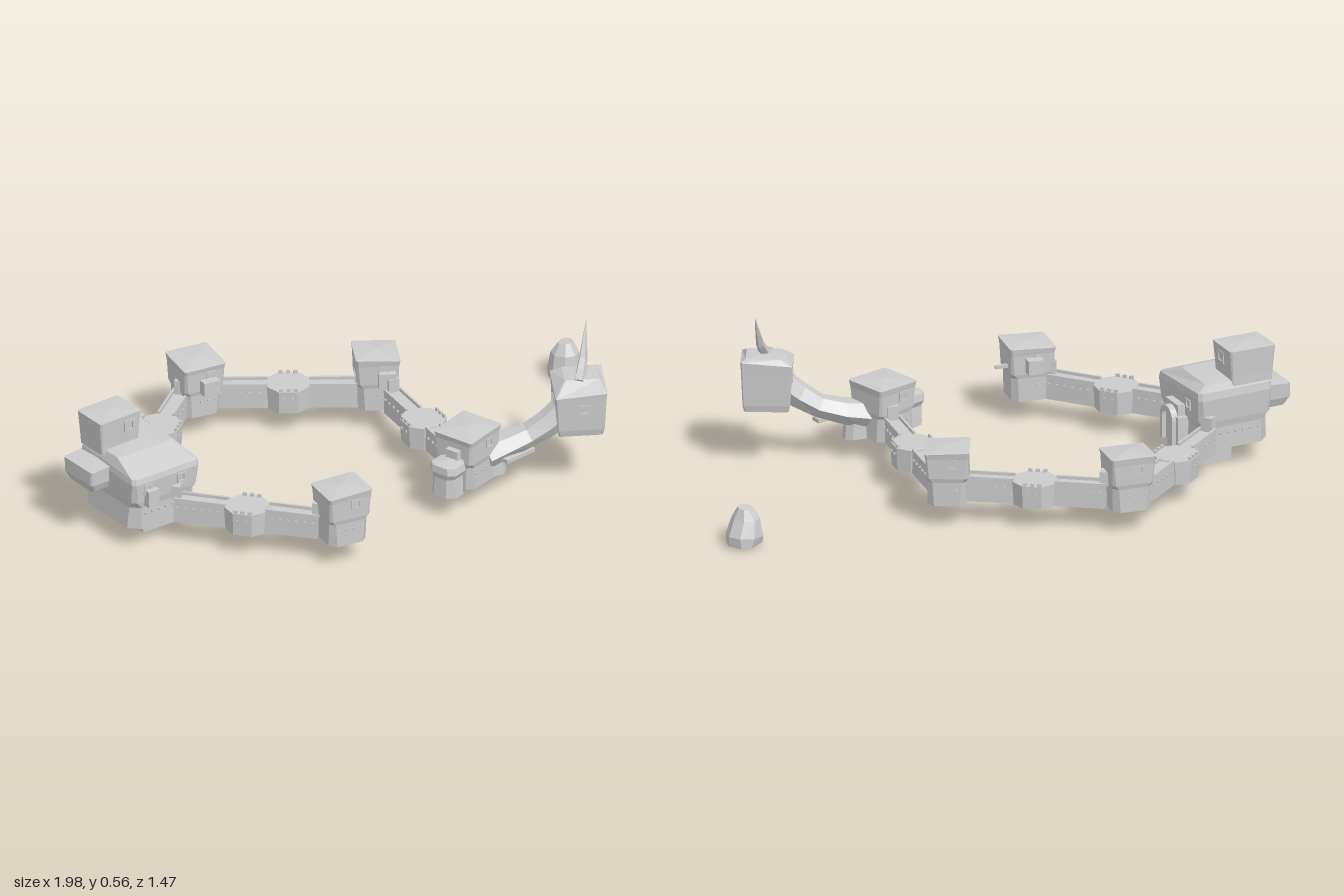
import * as THREE from 'three';

const mat = new THREE.MeshStandardMaterial({ color: 0xcccccc, flatShading: true, side: THREE.DoubleSide });

// Closed flat-shaded solid through rings of equal point count, fan caps at both ends
function loft(rings, peak = 0) {
  const pos = [];
  const tri = (a, b, c) => pos.push(...a, ...b, ...c);
  const mid = r => [0, 1, 2].map(k => r.reduce((s, p) => s + p[k], 0) / r.length);
  const n = rings[0].length;
  for (let i = 0; i + 1 < rings.length; i++) {
    for (let j = 0; j < n; j++) {
      const k = (j + 1) % n, lo = rings[i], hi = rings[i + 1];
      tri(lo[j], hi[j], lo[k]);
      tri(lo[k], hi[j], hi[k]);
    }
  }
  const first = rings[0], last = rings[rings.length - 1];
  const c0 = mid(first), c1 = mid(last);
  c1[1] += peak;
  for (let j = 0; j < n; j++) {
    const k = (j + 1) % n;
    tri(c0, first[j], first[k]);
    tri(c1, last[k], last[j]);
  }
  const g = new THREE.BufferGeometry();
  g.setAttribute('position', new THREE.Float32BufferAttribute(pos, 3));
  g.computeVertexNormals();
  return g;
}

// Horizontal rectangle with cut corners; tx and tz tilt it
function ring(w, d, y, cut = 0.01, { ox = 0, oz = 0, tx = 0, tz = 0 } = {}) {
  const a = w / 2, b = d / 2, c = cut;
  return [[a, -b + c], [a, b - c], [a - c, b], [-a + c, b], [-a, b - c], [-a, -b + c], [-a + c, -b], [a - c, -b]]
    .map(([x, z]) => [x + ox, y + tx * x + tz * z, z + oz]);
}

function add(parent, name, geo, x = 0, y = 0, z = 0, yaw = 0) {
  const m = new THREE.Mesh(geo, mat);
  m.name = name;
  m.position.set(x, y, z);
  m.rotation.y = yaw;
  parent.add(m);
  return m;
}
const box = (p, name, w, h, d, x, y, z, yaw = 0) => add(p, name, new THREE.BoxGeometry(w, h, d), x, y, z, yaw);

function place(parent, name, x, z, yaw = 0) {
  const g = new THREE.Group();
  g.name = name;
  g.position.set(x, 0, z);
  g.rotation.y = yaw;
  parent.add(g);
  return g;
}

// Upright window frame lying in the local xy plane
function windowFrame(p, x, y, z, yaw = 0, w = 0.034, h = 0.036) {
  const s = new THREE.Shape([[-w / 2, -h / 2], [w / 2, -h / 2], [w / 2, h / 2], [-w / 2, h / 2]].map(q => new THREE.Vector2(...q)));
  const k = 0.3;
  s.holes.push(new THREE.Path([[-w * k, -h * k], [-w * k, h * k], [w * k, h * k], [w * k, -h * k]].map(q => new THREE.Vector2(...q))));
  add(p, 'windowFrame', new THREE.ExtrudeGeometry(s, { depth: 0.006, bevelEnabled: false }), x, y, z, yaw);
}

// Arched doorway, outer arch with an opening down to the sill
function archway(p, w, h, depth, x, y, z, yaw) {
  const s = new THREE.Shape();
  const r = w / 2, q = r * 0.65;
  s.moveTo(r, 0);
  s.lineTo(r, h - r);
  s.absarc(0, h - r, r, 0, Math.PI, false);
  s.lineTo(-r, 0);
  s.lineTo(-q, 0);
  s.lineTo(-q, h - r);
  s.absarc(0, h - r, q, Math.PI, 0, true);
  s.lineTo(q, 0);
  add(p, 'archway', new THREE.ExtrudeGeometry(s, { depth, bevelEnabled: false, curveSegments: 5 }), x, y, z, yaw);
}

// Row of beam ends along local x
function beamEnds(p, from, to, y, z) {
  const n = Math.max(2, Math.round((to - from) / 0.03));
  for (let i = 0; i < n; i++) box(p, 'beamEnd', 0.006, 0.006, 0.01, from + (to - from) * (i + 0.5) / n, y, z);
}

// Wall with raised parapets and an eight-sided bastion in the middle
function wall(parent, x0, z0, x1, z1) {
  const len = Math.hypot(x1 - x0, z1 - z0);
  const g = place(parent, 'wall', (x0 + x1) / 2, (z0 + z1) / 2, -Math.atan2(z1 - z0, x1 - x0));
  box(g, 'wallBody', len, 0.08, 0.056, 0, 0.12, 0);
  add(g, 'bastion', loft([ring(0.135, 0.135, 0.08, 0.035), ring(0.145, 0.145, 0.163, 0.04)]), 0, 0, 0);
  for (const s of [-1, 1]) {
    for (const e of [-1, 1]) {
      box(g, 'parapet', len / 2 - 0.07, 0.012, 0.008, e * (len / 4 + 0.035), 0.165, s * 0.026);
      beamEnds(g, e < 0 ? -len / 2 : 0.08, e < 0 ? -0.08 : len / 2, 0.138, s * 0.03);
      box(g, 'endDoor', 0.03, 0.05, 0.04, e * (len / 2 - 0.005), 0.185, 0);
    }
    beamEnds(g, -0.03, 0.03, 0.138, s * 0.072);
    for (let i = -1; i <= 1; i++) box(g, 'merlon', 0.014, 0.012, 0.008, i * 0.025, 0.168, s * 0.066);
  }
}

// House tower: plinth, overhanging upper storey and a slightly bowed, tilted roof
function tower(parent, x, z, w, d, yaw, tilt) {
  const g = place(parent, 'tower', x, z, yaw);
  add(g, 'towerBody', loft([
    ring(w * 0.9, d * 0.9, 0.08, 0.022), ring(w * 0.92, d * 0.92, 0.165, 0.018),
    ring(w * 0.97, d * 0.97, 0.18, 0.01), ring(w, d, 0.25, 0.006),
    ring(w * 1.05, d * 1.05, 0.272, 0.006, tilt)], 0.008));
  for (const s of [-1, 1]) {
    windowFrame(g, 0.02 * s, 0.232, s > 0 ? d / 2 - 0.003 : -d / 2 - 0.003);
    beamEnds(g, -w * 0.36, w * 0.36, 0.138, s * d * 0.46);
  }
  return g;
}

// Rings set across a path; each station is [x, y, z, half width, half height]
function sweep(stations, sides) {
  const up = new THREE.Vector3(0, 1, 0);
  const pts = stations.map(s => new THREE.Vector3(s[0], s[1], s[2]));
  return loft(stations.map((s, i) => {
    const t = pts[Math.min(i + 1, pts.length - 1)].clone().sub(pts[Math.max(i - 1, 0)]).normalize();
    const side = up.clone().cross(t).normalize();
    const top = t.clone().cross(side);
    return Array.from({ length: sides }, (_, j) => {
      const a = (j + 0.5) / sides * Math.PI * 2, k = 1 / Math.cos(Math.PI / sides);
      return pts[i].clone().addScaledVector(top, Math.cos(a) * s[4] * k).addScaledVector(side, Math.sin(a) * s[3] * k).toArray();
    });
  }));
}

export function createModel() {
  const root = new THREE.Group();
  root.name = 'fortress';

  // Ring of walls
  wall(root, -0.59, 0.24, -0.785, -0.22);
  wall(root, -0.64, -0.49, -0.18, -0.655);
  wall(root, -0.06, -0.6, 0.24, -0.215);
  wall(root, 0.26, -0.1, 0.065, 0.32);

  // Corner towers with their balconies
  const west = tower(root, -0.55, 0.305, 0.155, 0.14, -0.45, { tx: 0.05 });
  box(west, 'balcony', 0.055, 0.05, 0.04, 0, 0.215, -0.085);
  box(west, 'beam', 0.05, 0.012, 0.012, 0.095, 0.2, -0.02);
  const north = tower(root, -0.12, -0.64, 0.15, 0.145, -0.45, { tz: -0.06 });
  box(north, 'balcony', 0.06, 0.05, 0.04, 0.01, 0.2, 0.085);
  const east = tower(root, 0.285, -0.185, 0.145, 0.145, -0.8, { tx: -0.05 });
  box(east, 'balcony', 0.06, 0.06, 0.03, 0.03, 0.2, 0.08);
  const south = tower(root, 0.04, 0.39, 0.165, 0.155, 0, { tx: 0.03 });
  add(south, 'sideTurret', loft([ring(0.09, 0.1, 0.08, 0.025), ring(0.085, 0.09, 0.15, 0.02), ring(0.095, 0.11, 0.17, 0.02), ring(0.09, 0.1, 0.195, 0.02)], 0.01), -0.122, 0, 0.01);
  box(south, 'turretRoofStep', 0.03, 0.05, 0.05, -0.088, 0.205, 0.01);

  // Keep with its stepped roof, upper room, side annexe and gate
  const keep = place(root, 'keep', -0.78, -0.375, -0.28);
  add(keep, 'keepBody', loft([
    ring(0.27, 0.29, 0.08, 0.035), ring(0.26, 0.29, 0.16, 0.03), ring(0.27, 0.3, 0.185, 0.015),
    ring(0.28, 0.31, 0.262, 0.012, { tz: -0.04 }), ring(0.275, 0.3, 0.285, 0.012, { tz: -0.06 }),
    ring(0.23, 0.19, 0.318, 0.012, { oz: -0.045, ox: -0.01 })], 0.004));
  add(keep, 'upperRoom', loft([ring(0.15, 0.125, 0.3, 0.004), ring(0.155, 0.125, 0.33, 0.004), ring(0.172, 0.135, 0.425, 0.006, { tx: 0.02 })], 0.006), -0.065, 0, -0.085);
  windowFrame(keep, -0.03, 0.385, -0.022, 0, 0.042, 0.042);
  windowFrame(keep, 0.015, 0.385, -0.075, Math.PI / 2, 0.042, 0.042);
  add(keep, 'sideAnnexe', loft([ring(0.1, 0.13, 0.19, 0.01), ring(0.125, 0.155, 0.22, 0.006), ring(0.125, 0.16, 0.275, 0.006, { tx: 0.08 })], 0.005), -0.15, 0, -0.065);
  box(keep, 'frontBalcony', 0.045, 0.06, 0.04, -0.07, 0.2, 0.155);
  for (const x of [-0.08, 0.06]) windowFrame(keep, x, 0.232, 0.152);
  windowFrame(keep, 0.137, 0.232, -0.07, Math.PI / 2);
  beamEnds(keep, -0.1, 0.1, 0.138, 0.148);
  beamEnds(keep, -0.1, 0.1, 0.138, -0.148);
  add(keep, 'foundation', loft([ring(0.18, 0.13, 0.003, 0.004), ring(0.18, 0.13, 0.09, 0.004)]), 0.065, 0, -0.01);
  box(keep, 'gateSide', 0.04, 0.1, 0.12, 0.15, 0.13, 0.005);
  archway(keep, 0.09, 0.13, 0.025, 0.16, 0.08, 0.005, Math.PI / 2);
  box(keep, 'gateRoof', 0.03, 0.04, 0.09, 0.148, 0.2, 0.005);

  // Neck-like bridge climbing to the overhanging house
  add(root, 'neckBridge', sweep([
    [0.09, 0.16, 0.42, 0.055, 0.045], [0.16, 0.175, 0.455, 0.05, 0.038], [0.23, 0.2, 0.505, 0.042, 0.035],
    [0.28, 0.24, 0.55, 0.042, 0.04], [0.33, 0.29, 0.59, 0.045, 0.045]], 6));
  add(root, 'bridgeFoot', loft([ring(0.1, 0.07, 0.08, 0.02), ring(0.08, 0.06, 0.18, 0.02)]), 0.12, 0, 0.43, -0.4);
  box(root, 'bridgeLedge', 0.13, 0.014, 0.035, 0.175, 0.147, 0.5, -0.15);

  const head = place(root, 'overhangingHouse', 0.367, 0.612, -0.8);
  add(head, 'houseBody', loft([
    ring(0.15, 0.15, 0.212, 0.006), ring(0.16, 0.16, 0.235, 0.004),
    ring(0.172, 0.172, 0.36, 0.004, { tx: 0.04, tz: -0.1 }), ring(0.176, 0.174, 0.377, 0.004, { tx: 0.07, tz: -0.12 }),
    ring(0.12, 0.1, 0.402, 0.004, { ox: 0.01, oz: -0.02 })], 0.004));
  windowFrame(head, 0.01, 0.315, 0.082, 0, 0.04, 0.036);
  windowFrame(head, -0.088, 0.315, 0, Math.PI / 2, 0.04, 0.036);

  // Curved horn on the roof
  add(root, 'horn', sweep([
    [0.345, 0.39, 0.63, 0.018, 0.018], [0.385, 0.412, 0.61, 0.015, 0.015], [0.412, 0.445, 0.597, 0.012, 0.012],
    [0.432, 0.49, 0.587, 0.008, 0.008], [0.46, 0.56, 0.573, 0.001, 0.001]], 5));

  // Lone boulder
  add(root, 'boulder', loft([
    ring(0.12, 0.1, 0.01, 0.025), ring(0.125, 0.115, 0.04, 0.035, { tx: 0.1 }),
    ring(0.085, 0.09, 0.1, 0.025, { ox: -0.008 }), ring(0.05, 0.045, 0.137, 0.012, { ox: -0.004, tz: 0.1 })]), 0.93, 0, 0.13, 0.25);
  return root;
}
